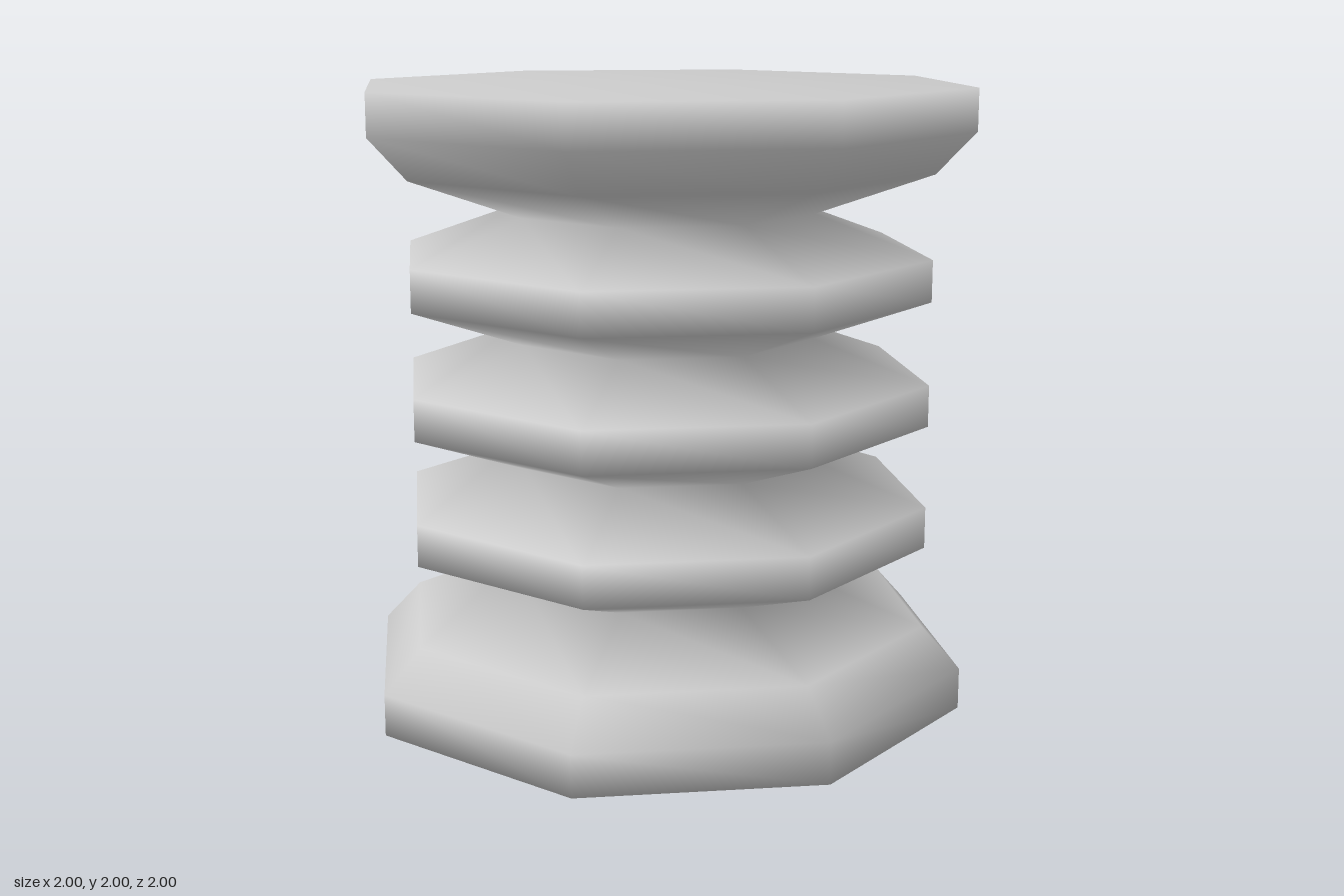
import * as THREE from 'three';

export function createModel() {
  const model = new THREE.Group();
  model.name = 'bellows';

  const step = 2 / 15; // the height is divided into 15 equal bands
  const rim = 1, ridge = 0.875, groove = 0.5;
  const profile = [];
  const add = (radius, band) => profile.push(new THREE.Vector2(radius, band * step));

  // Bottom cap and flange
  add(0, 0);
  add(rim, 0);
  add(rim, 1);
  add(ridge, 2);
  // Three pleats, each after a groove
  for (let i = 0; i < 3; i++) {
    add(groove, 3 + i * 3);
    add(ridge, 4 + i * 3);
    add(ridge, 5 + i * 3);
  }
  // Last groove, top flange and cap
  add(groove, 12);
  add(ridge, 13);
  add(rim, 14);
  add(rim, 15);
  add(0, 15);

  // Eight sides with smooth normals, corners on the axes
  const body = new THREE.Mesh(
    new THREE.LatheGeometry(profile, 8),
    new THREE.MeshStandardMaterial({ color: 0xcccccc })
  );
  body.name = 'bellowsBody';
  model.add(body);
  return model;
}
